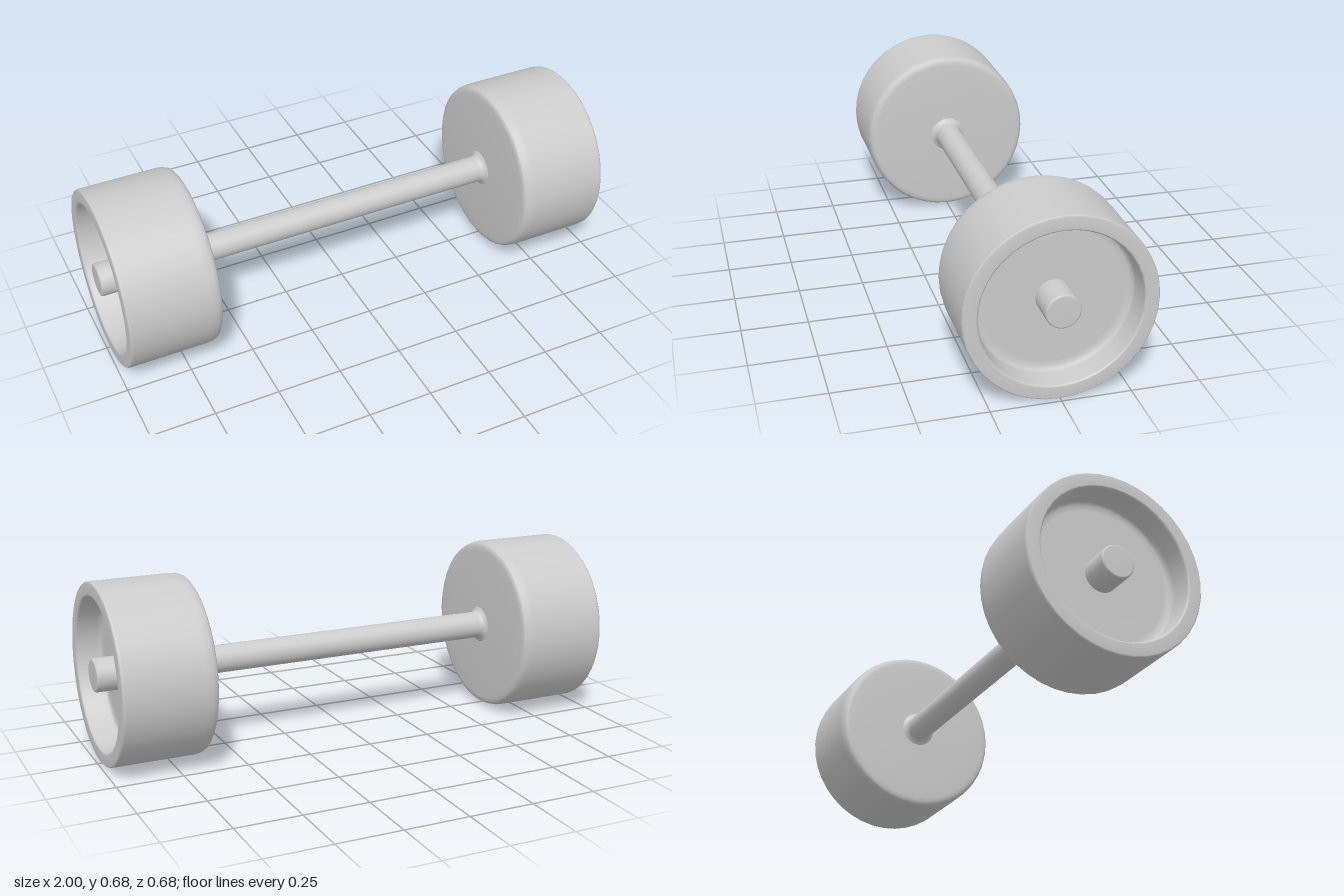
import * as THREE from 'three';

const SEGMENTS = 40;
const RADIUS = 0.342;

// Revolve [radius, x] pairs around the x axis
function turned(name, profile, material) {
  const points = profile.map(([r, x]) => new THREE.Vector2(r, x));
  const geometry = new THREE.LatheGeometry(points, SEGMENTS);
  geometry.rotateZ(-Math.PI / 2);
  const mesh = new THREE.Mesh(geometry, material);
  mesh.name = name;
  return mesh;
}

export function createModel() {
  const material = new THREE.MeshStandardMaterial({ color: 0xcccccc });
  const model = new THREE.Group();
  model.name = 'wheelAxle';

  // Wheel: closed inner face, broad tread, dished outer face
  const wheelProfile = [
    [0, 0.625], [0.06, 0.625], [0.24, 0.628], [0.31, 0.632], [0.325, 0.634],
    [0.334, 0.64], [0.34, 0.655], [RADIUS, 0.68],
    [RADIUS, 0.975], [0.341, 0.983], [0.336, 0.988],
    [0.295, 0.988], [0.29, 0.986], [0.287, 0.98],
    [0.283, 0.91], [0.28, 0.895], [0.27, 0.888], [0.25, 0.886], [0, 0.886],
  ];

  // Stub end of the axle inside the dish
  const stubProfile = [
    [0.063, 0.88], [0.063, 0.992], [0.061, 0.998], [0.056, 1], [0, 1],
  ];

  // Small flare where the axle meets the wheel
  const flareProfile = [[0.053, 0.6], [0.055, 0.612], [0.061, 0.62], [0.075, 0.627]];

  for (const side of [1, -1]) {
    const end = new THREE.Group();
    end.name = side > 0 ? 'leftWheel' : 'rightWheel';
    end.add(turned('wheelBody', wheelProfile, material));
    end.add(turned('axleStub', stubProfile, material));
    const flare = turned('axleFlare', [...flareProfile].reverse(), material);
    flare.material = material.clone();
    flare.material.side = THREE.DoubleSide;
    end.add(flare);
    if (side < 0) end.rotation.y = Math.PI;
    model.add(end);
  }

  // Plain rod between the wheels
  model.add(turned('axleRod', [[0.053, -0.64], [0.053, 0.64]], material));

  model.children.forEach((part) => { part.position.y = RADIUS; });
  return model;
}
